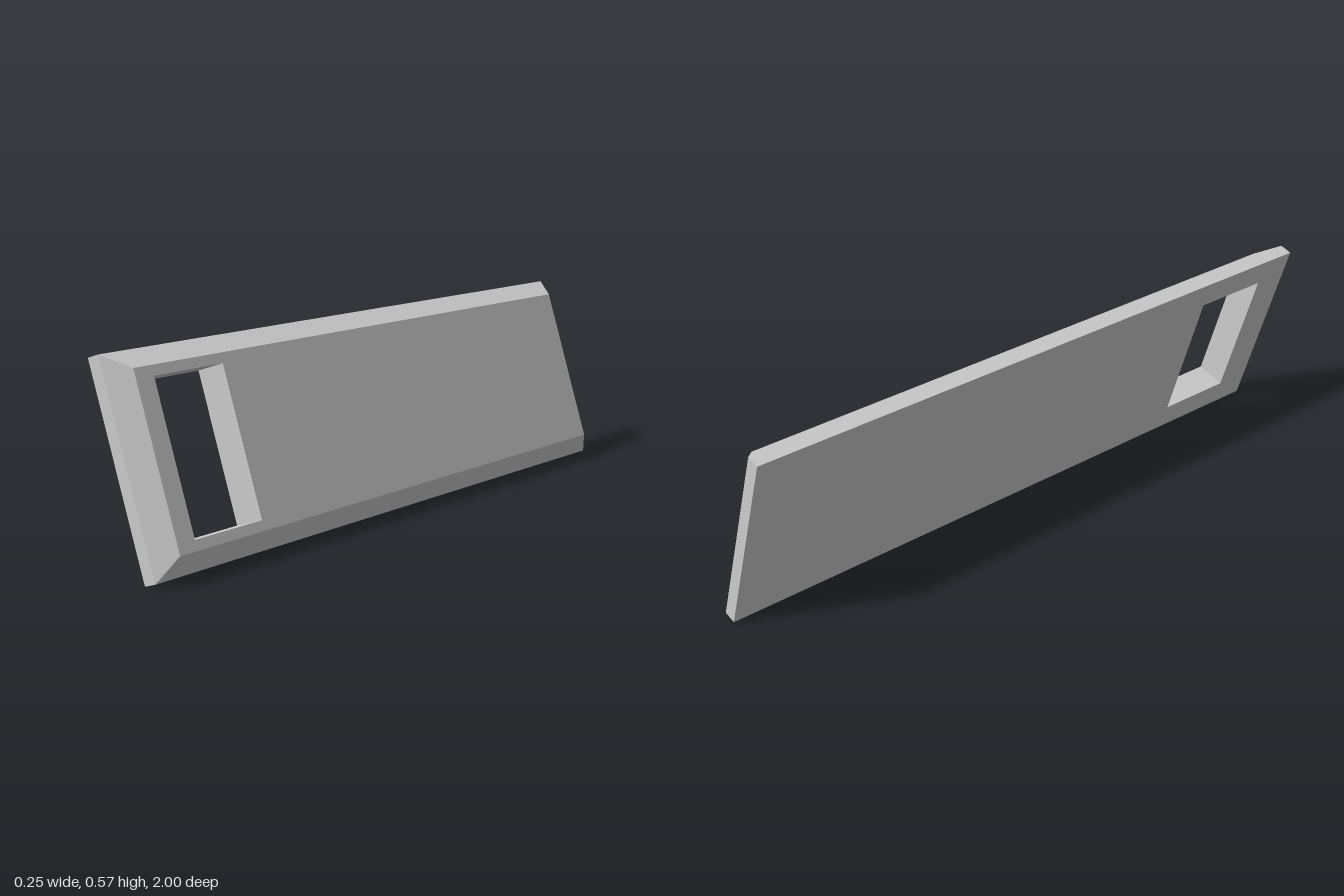
import * as THREE from 'three';

const HALF_LENGTH = 1;
const HALF_HEIGHT = 0.2925;
const RIM = 0.039;        // straight part of the edge
const THICKNESS = 0.093;  // rim plus chamfer
const INSET = 0.053;      // chamfer inset on the face
const TILT = Math.PI / 10;

// Corners of a rectangle centred on (cx, 0)
function rectangle(cx, hx, hy) {
  return [[-1, -1], [1, -1], [1, 1], [-1, 1]]
    .map(([sx, sy]) => new THREE.Vector2(cx + sx * hx, sy * hy));
}

export function createModel() {
  const group = new THREE.Group();
  group.name = 'tiltedPanel';

  // Plate outline with the rectangular window near the front end
  const outline = new THREE.Shape(rectangle(0, HALF_LENGTH, HALF_HEIGHT));
  outline.holes.push(new THREE.Path(rectangle(-0.76, 0.125, 0.211).reverse()));
  const geometry = new THREE.ExtrudeGeometry(outline, {
    depth: THICKNESS, steps: 2, bevelEnabled: false,
  });

  // Chamfer: middle ring becomes the rim edge, outer corners of the face move in
  const p = geometry.attributes.position;
  for (let i = 0; i < p.count; i++) {
    const x = p.getX(i), y = p.getY(i), z = p.getZ(i);
    if (z > THICKNESS * 0.25 && z < THICKNESS * 0.75) p.setZ(i, RIM);
    if (z > THICKNESS * 0.75 && Math.abs(y) > HALF_HEIGHT - 0.001) {
      p.setX(i, x - Math.sign(x) * INSET);
      p.setY(i, y - Math.sign(y) * INSET);
    }
  }
  geometry.computeVertexNormals();

  // Stand the plate along z, face to +x, then lean it back
  geometry.rotateY(Math.PI / 2);
  geometry.rotateZ(TILT);
  geometry.translate(-0.0365, HALF_HEIGHT * Math.cos(TILT), 0);

  const plate = new THREE.Mesh(geometry, new THREE.MeshStandardMaterial({
    color: 0xcccccc, flatShading: true,
  }));
  plate.name = 'chamferedPlate';
  group.add(plate);
  return group;
}
